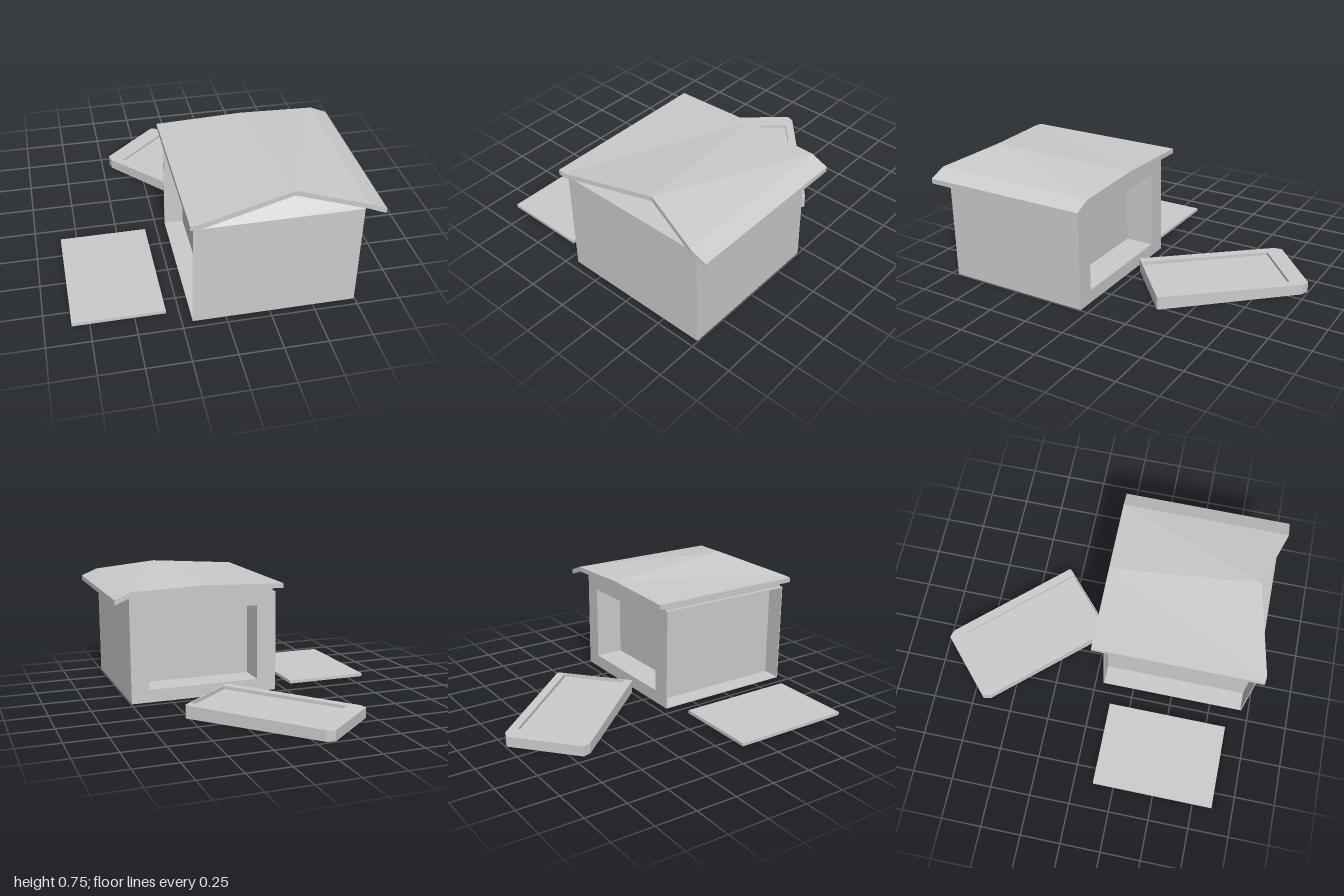
import * as THREE from 'three';

const material = new THREE.MeshStandardMaterial({ color: 0xcccccc, flatShading: true });

function add(parent, name, geometry) {
  const mesh = new THREE.Mesh(geometry, material);
  mesh.name = name;
  parent.add(mesh);
  return mesh;
}

// Box given by its minimum and maximum corners
function addBox(parent, name, [x0, y0, z0], [x1, y1, z1]) {
  const mesh = add(parent, name, new THREE.BoxGeometry(x1 - x0, y1 - y0, z1 - z0));
  mesh.position.set((x0 + x1) / 2, (y0 + y1) / 2, (z0 + z1) / 2);
  return mesh;
}

function rectangle(target, x0, y0, x1, y1) {
  target.moveTo(x0, y0).lineTo(x1, y0).lineTo(x1, y1).lineTo(x0, y1).closePath();
  return target;
}

function extrude(shape, depth) {
  return new THREE.ExtrudeGeometry(shape, { depth, bevelEnabled: false });
}

// Solid through four-point sections: front low, front high, back high, back low
function loft(sections) {
  const out = [];
  const quad = (a, b, c, d) => out.push(...a, ...b, ...c, ...a, ...c, ...d);
  for (let s = 0; s < sections.length - 1; s++) {
    const a = sections[s], b = sections[s + 1];
    for (let i = 0; i < 4; i++) {
      const j = (i + 1) % 4;
      quad(a[i], b[i], b[j], a[j]);
    }
  }
  quad(...sections[0]);
  quad(...[...sections[sections.length - 1]].reverse());
  const geometry = new THREE.BufferGeometry();
  geometry.setAttribute('position', new THREE.Float32BufferAttribute(out, 3));
  geometry.computeVertexNormals();
  return geometry;
}

function createHouse() {
  const house = new THREE.Group();
  house.name = 'house';
  const L = -0.19, R = 0.745, F = 0.955, B = 0.05, H = 0.635;
  const inner = -0.074, wall = 0.006;

  // Solid core behind the two recesses
  addBox(house, 'core', [inner, 0, 0.23], [R, H, F]);

  // Back wall with its deep window recess
  const back = rectangle(new THREE.Shape(), inner, 0, R, H);
  back.holes.push(rectangle(new THREE.Path(), -0.066, 0.08, 0.637, 0.555));
  add(house, 'backWall', extrude(back, 0.18)).position.z = B;

  // Thin shell around the open right side
  addBox(house, 'sideFloor', [L, 0, B], [inner, wall, F]);
  addBox(house, 'sideCeiling', [L, H - wall, B], [inner, H, F]);
  addBox(house, 'sideFrontWall', [L, wall, F - wall], [inner, H - wall, F]);
  addBox(house, 'sideBackWall', [L, wall, B], [inner, H - wall, B + wall]);

  // Attic with a gable that leans back
  const attic = [[-0.17, -0.17, 0.668, 0.93, 0.668], [0.375, 0.3, 0.72, 0.88, 0.682], [R, R, 0.668, 0.93, 0.668]];
  add(house, 'attic', loft(attic.map(([x, xb, y, z, yb]) => [
    [x, H, F], [x, y, z], [xb, yb, B], [xb, H, B],
  ])));

  // Roof: front x, back x, front height, back height, front z
  const t = 0.03;
  const roof = [
    [-0.213, -0.213, 0.696, 0.696, 0.995],
    [-0.17, -0.17, 0.697, 0.697, 1.0],
    [0.375, 0.3, 0.752, 0.713, 0.88],
    [0.745, 0.745, 0.698, 0.698, 1.0],
    [0.845, 0.845, 0.656, 0.656, 1.0],
  ];
  add(house, 'roof', loft(roof.map(([x, xb, y, yb, z]) => [
    [x, y - t, z], [x, y, z], [xb, yb, -0.02], [xb, yb - t, -0.02],
  ])));
  return house;
}

// Flat side panel lying on the ground, with a shallow recess underneath
function createPanel() {
  const panel = new THREE.Group();
  panel.name = 'loosePanel';
  const frame = rectangle(new THREE.Shape(), -0.262, -0.375, 0.262, 0.375);
  frame.holes.push(rectangle(new THREE.Path(), -0.14, -0.21, 0.14, 0.21));
  add(panel, 'panelUnderside', extrude(frame, 0.01).rotateX(-Math.PI / 2)).position.y = 0.005;
  addBox(panel, 'panelTop', [-0.262, 0.015, -0.375], [0.262, 0.025, 0.375]);
  panel.position.set(-0.587, 0, 0.495);
  return panel;
}

// Tapered tray lying at an angle behind the house
function createTray() {
  const tray = new THREE.Group();
  tray.name = 'tray';
  const length = 0.92, half = 0.255;
  const basis = new THREE.Matrix4().makeBasis(
    new THREE.Vector3(-0.666, 0, -0.746),
    new THREE.Vector3(-0.746, 0, 0.666),
    new THREE.Vector3(0, 1, 0),
  ).setPosition(0.335, 0, -0.155);

  // The tray gets thinner toward its far end
  const place = (geometry) => {
    const p = geometry.attributes.position;
    for (let i = 0; i < p.count; i++) p.setZ(i, p.getZ(i) * (1 - 0.21 * p.getX(i) / length));
    geometry.applyMatrix4(basis);
    geometry.computeVertexNormals();
    return geometry;
  };

  const outline = () => new THREE.Shape([
    [0, -half + 0.008], [0.008, -half], [length - 0.045, -half], [length, -half + 0.025],
    [length, half - 0.025], [length - 0.045, half], [0.008, half], [0, half - 0.008],
  ].map(([u, v]) => new THREE.Vector2(u, v)));

  const rim = outline();
  rim.holes.push(rectangle(new THREE.Path(), 0.006, -0.202, 0.813, 0.202));
  add(tray, 'trayRim', place(extrude(rim, 0.08)));
  add(tray, 'trayBase', place(extrude(outline(), 0.05)));

  // Five slats on the tray floor
  const step = 0.807 / 5;
  for (let i = 0; i < 5; i++) {
    const slat = rectangle(new THREE.Shape(), 0.006 + i * step, -0.202, 0.006 + (i + 1) * step, 0.202);
    add(tray, 'traySlat', place(extrude(slat, i % 2 ? 0.057 : 0.058)));
  }
  return tray;
}

export function createModel() {
  const model = new THREE.Group();
  model.name = 'smallHouse';
  model.add(createHouse(), createPanel(), createTray());
  return model;
}
